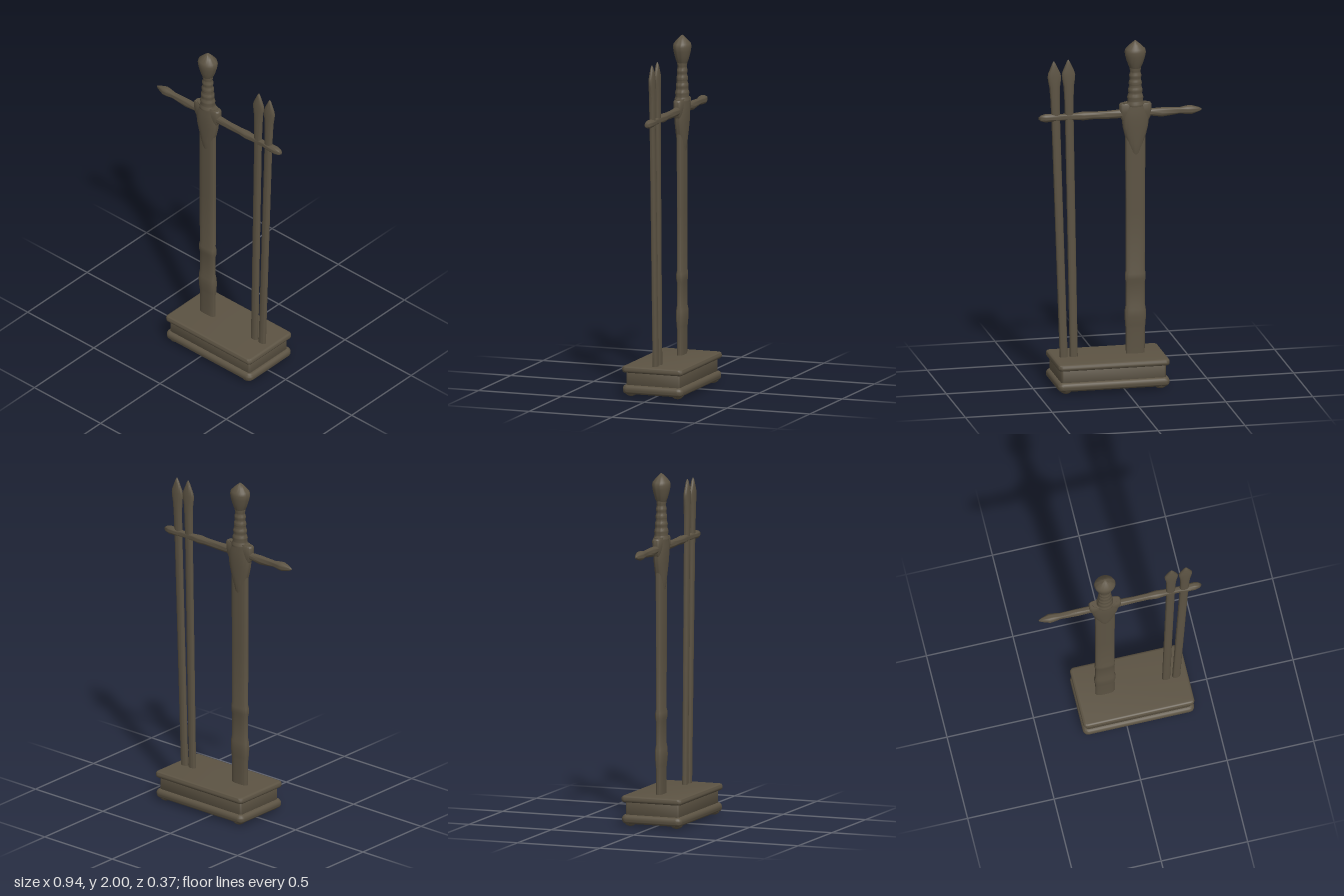
import * as THREE from 'three';
import { toCreasedNormals } from 'three/addons/utils/BufferGeometryUtils.js';

const SWORD_X = -0.088;

// Closed body lofted through rows of [y, centreX, halfX, halfZ]; power sets how square the section is.
function loft(rows, power = 2, sides = 28, crease = 0.7) {
  const pos = [], idx = [], e = 2 / power, n = rows.length;
  const bend = (v) => Math.sign(v) * Math.pow(Math.abs(v), e);
  for (const [y, cx, rx, rz] of rows) {
    for (let i = 0; i < sides; i++) {
      const t = (i / sides) * Math.PI * 2;
      pos.push(cx + rx * bend(Math.cos(t)), y, rz * bend(Math.sin(t)));
    }
  }
  for (let j = 0; j < n - 1; j++) {
    for (let i = 0; i < sides; i++) {
      const a = j * sides + i, b = j * sides + (i + 1) % sides;
      idx.push(a, a + sides, b, b, a + sides, b + sides);
    }
  }
  // End caps
  pos.push(rows[0][1], rows[0][0], 0, rows[n - 1][1], rows[n - 1][0], 0);
  const low = n * sides, high = low + 1, last = (n - 1) * sides;
  for (let i = 0; i < sides; i++) {
    const k = (i + 1) % sides;
    idx.push(low, i, k, high, last + k, last + i);
  }
  const geo = new THREE.BufferGeometry();
  geo.setAttribute('position', new THREE.Float32BufferAttribute(pos, 3));
  geo.setIndex(idx);
  return toCreasedNormals(geo, crease);
}

// Rounded slab with a moulded edge: bevelled extrusion laid flat.
function slab(y, height, halfX, halfZ, bevel) {
  const x = halfX - bevel, z = halfZ - bevel, r = 0.012;
  const s = new THREE.Shape();
  s.moveTo(-x + r, -z);
  s.lineTo(x - r, -z).quadraticCurveTo(x, -z, x, -z + r);
  s.lineTo(x, z - r).quadraticCurveTo(x, z, x - r, z);
  s.lineTo(-x + r, z).quadraticCurveTo(-x, z, -x, z - r);
  s.lineTo(-x, -z + r).quadraticCurveTo(-x, -z, -x + r, -z);
  const geo = new THREE.ExtrudeGeometry(s, {
    depth: height - 2 * bevel, bevelSize: bevel, bevelThickness: bevel, bevelSegments: 5, curveSegments: 5,
  });
  geo.rotateX(-Math.PI / 2).translate(0.07, y + bevel, 0);
  return toCreasedNormals(geo, 0.8);
}

export function createModel() {
  const model = new THREE.Group();
  const bronze = new THREE.MeshStandardMaterial({ color: 0x5c5343 });
  bronze.name = 'dark bronze';
  const add = (name, geo, parent = model) => {
    const mesh = new THREE.Mesh(geo, bronze);
    mesh.name = name;
    parent.add(mesh);
    return mesh;
  };

  // Plinth: lower moulding, recessed waist, top plate, four low feet
  const plinth = new THREE.Group();
  plinth.name = 'plinth';
  model.add(plinth);
  add('lowerMoulding', slab(0.016, 0.052, 0.322, 0.182, 0.022), plinth);
  add('waist', slab(0.05, 0.11, 0.302, 0.162, 0.006), plinth);
  add('topPlate', slab(0.138, 0.037, 0.321, 0.183, 0.014), plinth);
  for (const sx of [-1, 1]) {
    for (const sz of [-1, 1]) {
      const foot = add('foot', new THREE.SphereGeometry(0.036, 20, 12), plinth);
      foot.scale.y = 0.75;
      foot.position.set(0.07 + sx * 0.272, 0.027, sz * 0.14);
    }
  }

  // Sword rows share one axis
  const onSword = (rows) => rows.map(([y, rx, rz]) => [y, SWORD_X, rx, rz]);

  // Scabbard with two swollen bands
  add('scabbard', loft(onSword([
    [0.16, 0.054, 0.018], [0.32, 0.055, 0.019], [0.34, 0.058, 0.021], [0.39, 0.061, 0.026],
    [0.43, 0.06, 0.025], [0.46, 0.055, 0.019], [0.59, 0.055, 0.019], [0.61, 0.059, 0.024],
    [0.64, 0.059, 0.024], [0.66, 0.055, 0.019], [1.0, 0.056, 0.02], [1.5, 0.058, 0.021],
  ]), 2.7, 36));

  // Throat collar narrowing to a point over the scabbard
  add('collar', loft(onSword([
    [1.32, 0.012, 0.017], [1.35, 0.03, 0.023], [1.4, 0.046, 0.027], [1.45, 0.061, 0.03],
    [1.5, 0.073, 0.033], [1.55, 0.078, 0.035], [1.59, 0.076, 0.034], [1.64, 0.07, 0.03],
  ]), 2.3, 36));
  add('guardBlock', loft(onSword([
    [1.535, 0.076, 0.02], [1.56, 0.088, 0.025], [1.59, 0.091, 0.028], [1.628, 0.092, 0.028],
    [1.636, 0.086, 0.024],
  ]), 4, 36));

  // Grip with wrapped ridges
  const grip = [];
  for (let i = 0; i <= 40; i++) {
    const t = i / 40;
    const r = 0.03 + 0.02 * Math.pow(1 - t, 1.6) + 0.0022 * Math.sin(t * Math.PI * 12);
    grip.push([1.62 + t * 0.25, r, r * 0.85]);
  }
  add('grip', loft(onSword(grip), 2, 28, 1));

  // Pommel with a pointed cap
  add('pommel', loft(onSword([
    [1.84, 0.031, 0.028], [1.858, 0.04, 0.035], [1.88, 0.048, 0.041], [1.91, 0.057, 0.048],
    [1.935, 0.061, 0.051], [1.952, 0.056, 0.048], [1.975, 0.033, 0.029], [1.99, 0.016, 0.015],
    [2.0, 0.003, 0.003],
  ]), 2, 32, 1));

  // Crossguard lofted upright, then laid along x
  const guard = add('crossguard', loft([
    [-0.47, 0, 0.004, 0.003], [-0.455, 0, 0.012, 0.011], [-0.41, 0, 0.026, 0.026],
    [-0.385, 0, 0.025, 0.024], [-0.345, 0, 0.018, 0.018], [-0.3, 0.002, 0.022, 0.019],
    [-0.24, 0.004, 0.027, 0.02], [-0.18, 0, 0.021, 0.02], [0, 0, 0.025, 0.021],
    [0.08, 0.002, 0.023, 0.018], [0.16, 0, 0.022, 0.019], [0.21, 0, 0.025, 0.024],
    [0.26, 0, 0.02, 0.019], [0.34, 0, 0.019, 0.018], [0.39, 0, 0.023, 0.022],
    [0.43, 0, 0.024, 0.022], [0.455, 0, 0.017, 0.016], [0.467, 0, 0.008, 0.008],
    [0.47, 0, 0.001, 0.001],
  ], 2, 24, 1));
  guard.rotation.z = -Math.PI / 2;
  guard.position.y = 1.576;

  // Two leaning spears standing beside the sword
  const spear = (x0, x1, top) => {
    const at = (y, rx, rz) => [y, x0 + (x1 - x0) * (y - 0.17) / (top - 0.17), rx, rz];
    const shaft = [0.16, 0.5, 0.9, 1.3, 1.55].map((y, i) => at(y, 0.023 + i * 0.0005, 0.015));
    const head = [
      [0.22, 0.027, 0.016], [0.15, 0.031, 0.016], [0.12, 0.036, 0.016], [0.09, 0.039, 0.015],
      [0.07, 0.035, 0.014], [0.03, 0.017, 0.01], [0.012, 0.009, 0.007], [0, 0.002, 0.002],
    ].map(([d, rx, rz]) => at(top - d, rx, rz));
    return loft([...shaft, ...head], 2.3, 24, 0.8);
  };
  add('innerSpear', spear(0.266, 0.298, 1.91));
  add('outerSpear', spear(0.324, 0.381, 1.905));

  return model;
}
